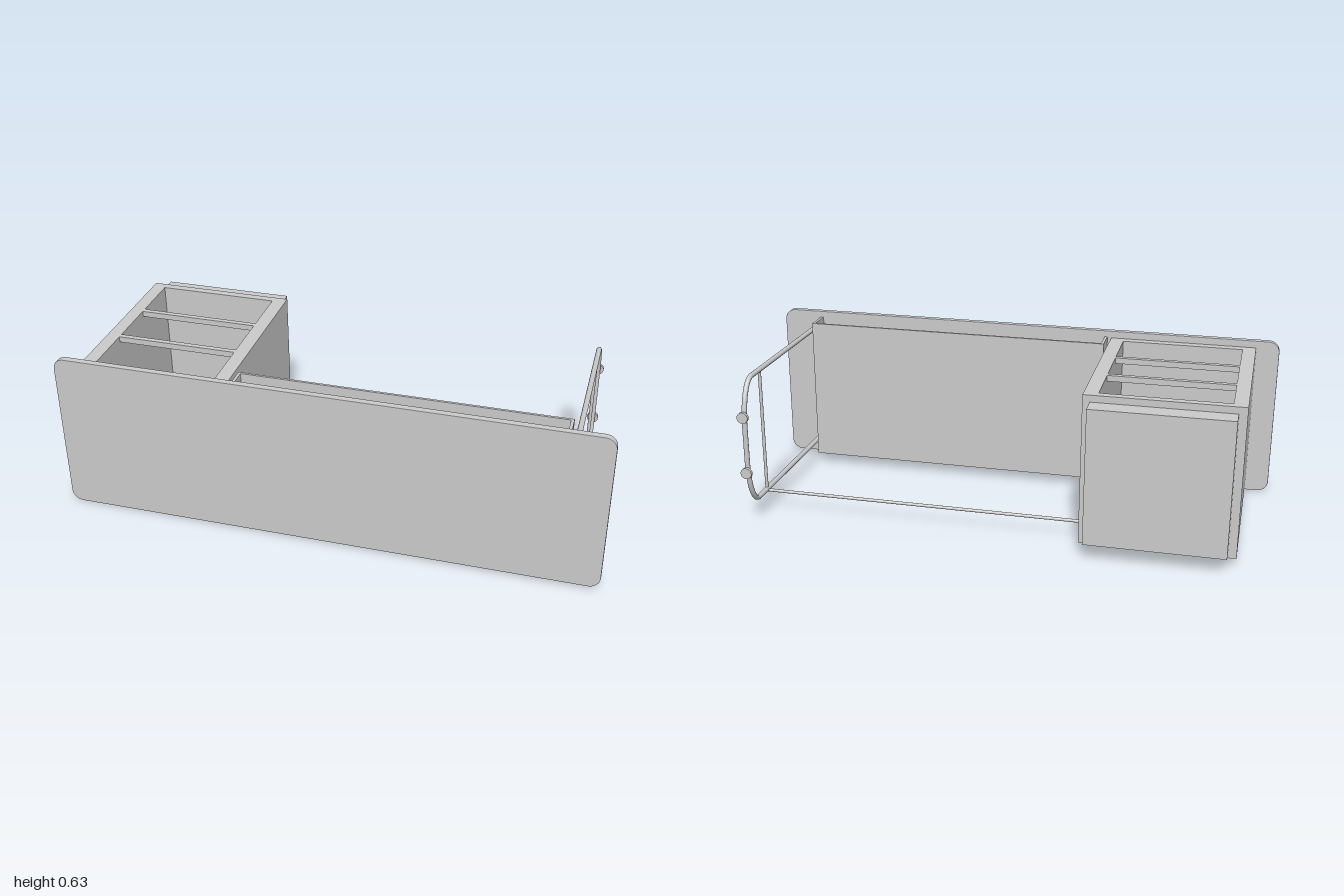
import * as THREE from 'three';

const mat = new THREE.MeshStandardMaterial({ color: 0xcccccc });

export function createModel() {
  const model = new THREE.Group();
  model.name = 'overturnedDesk';
  const desk = new THREE.Group();
  desk.name = 'desk';
  desk.rotation.z = 0.006; // rests on one corner of the top, leaning slightly
  model.add(desk);

  const add = (name, geometry, x = 0, y = 0, z = 0, parent = desk) => {
    const mesh = new THREE.Mesh(geometry, mat);
    mesh.name = name;
    mesh.position.set(x, y, z);
    parent.add(mesh);
    return mesh;
  };
  // Box given by its limits on each axis
  const block = (name, [x0, x1], [y0, y1], [z0, z1], parent = desk) =>
    add(name, new THREE.BoxGeometry(x1 - x0, y1 - y0, z1 - z0),
      (x0 + x1) / 2, (y0 + y1) / 2, (z0 + z1) / 2, parent);
  const rod = (name, r, length, axis, x, y, z) => {
    const g = new THREE.CylinderGeometry(r, r, length, 20);
    if (axis === 'x') g.rotateZ(Math.PI / 2);
    if (axis === 'z') g.rotateX(Math.PI / 2);
    return add(name, g, x, y, z);
  };
  // Cabinet open towards +y: four walls around a cavity, closed by a floor
  const cabinet = (name, [x0, x1], [y0, y1], [z0, z1], [a0, a1], [b0, b1], floor) => {
    const g = new THREE.Group();
    g.name = name;
    desk.add(g);
    block('sideWall', [x0, a0], [y0, y1], [z0, z1], g);
    block('sideWall', [a1, x1], [y0, y1], [z0, z1], g);
    block('endWall', [a0, a1], [y0, y1], [z0, b0], g);
    if (z1 > b1) block('endWall', [a0, a1], [y0, y1], [b1, z1], g);
    block('backPanel', [a0, a1], [y0, y0 + floor], [b0, b1], g);
    return g;
  };

  // Desk top with rounded corners, standing on its long edge
  const w = 0.996, h = 0.305, r = 0.04, bevel = 0.002;
  const s = new THREE.Shape();
  s.moveTo(-w + r, -h);
  s.lineTo(w - r, -h);
  s.absarc(w - r, -h + r, r, -Math.PI / 2, 0);
  s.lineTo(w, h - r);
  s.absarc(w - r, h - r, r, 0, Math.PI / 2);
  s.lineTo(-w + r, h);
  s.absarc(-w + r, h - r, r, Math.PI / 2, Math.PI);
  s.lineTo(-w, -h + r);
  s.absarc(-w + r, -h + r, r, Math.PI, Math.PI * 1.5);
  add('deskTop', new THREE.ExtrudeGeometry(s, {
    depth: 0.021, bevelEnabled: true, bevelSize: bevel, bevelThickness: bevel,
    bevelSegments: 2, curveSegments: 10,
  }), 0.002, 0.312, 0.372);

  // Drawer pedestal with two rails dividing its open front
  const pedestal = cabinet('drawerPedestal', [-0.908, -0.352], [0.036, 0.592], [-0.322, 0.371],
    [-0.858, -0.404], [-0.292, 0.335], 0.03);
  for (const z of [-0.087, 0.126])
    block('drawerRail', [-0.858, -0.404], [0.57, 0.592], [z - 0.01, z + 0.01], pedestal);
  block('pedestalPlinth', [-0.878, -0.378], [0.065, 0.567], [-0.396, -0.322]);

  // Shallow centre drawer housing under the top
  cabinet('centreDrawerHousing', [-0.337, 0.847], [0.034, 0.595], [0.27, 0.371],
    [-0.326, 0.836], [0.279, 0.371], 0.012);

  // Bent tube leg frame
  const legX = 0.868, y0 = 0.075, y1 = 0.553, zBend = -0.295, zEnd = -0.376, ry = 0.17;
  const path = new THREE.CurvePath();
  const v = (y, z) => new THREE.Vector3(legX, y, z);
  const k = 0.5523;
  path.add(new THREE.LineCurve3(v(y0, 0.372), v(y0, zBend)));
  path.add(new THREE.CubicBezierCurve3(v(y0, zBend), v(y0, zBend + (zEnd - zBend) * k),
    v(y0 + ry * (1 - k), zEnd), v(y0 + ry, zEnd)));
  path.add(new THREE.LineCurve3(v(y0 + ry, zEnd), v(y1 - ry, zEnd)));
  path.add(new THREE.CubicBezierCurve3(v(y1 - ry, zEnd), v(y1 - ry * (1 - k), zEnd),
    v(y1, zBend + (zEnd - zBend) * k), v(y1, zBend)));
  path.add(new THREE.LineCurve3(v(y1, zBend), v(y1, 0.372)));
  add('legFrame', new THREE.TubeGeometry(path, 160, 0.0095, 16, false));

  // Leg brace, long stretcher with its flange, and two feet
  rod('legBrace', 0.006, y1 - y0, 'y', legX, (y0 + y1) / 2, -0.22);
  rod('stretcher', 0.006, legX + 0.352, 'x', (legX - 0.352) / 2, 0.071, -0.22);
  rod('stretcherFlange', 0.015, 0.01, 'x', -0.347, 0.071, -0.22);
  for (const y of [0.208, 0.424]) rod('foot', 0.021, 0.012, 'z', legX, y, -0.389);

  return model;
}
